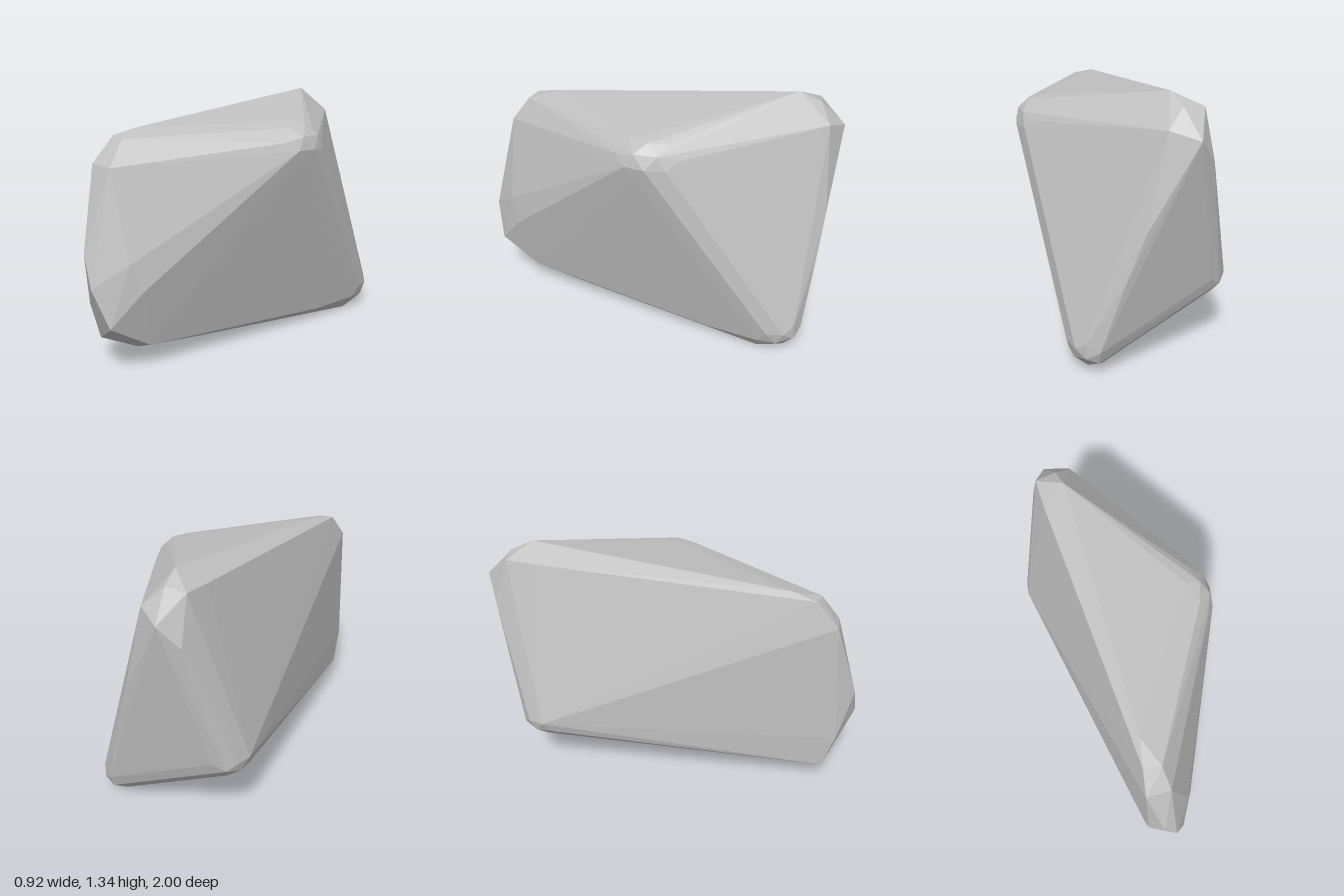
import * as THREE from 'three';
import { ConvexGeometry } from 'three/addons/geometries/ConvexGeometry.js';

// Rounded corners of the boulder: centre and radii
const roundCorners = [
  { at: [0.32, 1.07, -0.09], r: [0.14, 0.14, 0.20] },   // shoulder
  { at: [-0.34, 0.40, -0.68], r: [0.12, 0.12, 0.15] },  // low side
  { at: [0.25, 0.14, -0.74], r: [0.12, 0.13, 0.17] },   // foot
];

// Chipped corners and edges: hand-placed points
const chips = {
  peak: [
    [-0.12, 1.34, -0.76], [-0.25, 1.28, -0.86], [-0.25, 1.27, -0.70], [-0.18, 1.16, -1],
    [-0.14, 1.29, -0.87], [-0.27, 1.15, -0.75], [-0.27, 1.05, -0.94], [-0.05, 1.2, -0.93],
  ],
  brow: [
    [-0.18, 1.17, 0.73], [-0.09, 1.16, 0.75], [-0.20, 1.04, 0.85], [-0.07, 1.03, 0.85],
    [-0.15, 1.20, 0.60], [0, 1.17, 0.55],
  ],
  nose: [
    [-0.13, 0.62, 0.98], [-0.06, 0.46, 1], [-0.19, 0.34, 0.91], [-0.19, 0.14, 0.85],
    [0.01, 0.26, 0.95], [0.05, 0.57, 0.85], [0.09, 0.43, 0.80],
  ],
  underside: [
    [-0.10, 0.06, 0.68], [0.04, 0.12, 0.72], [0.10, 0.09, 0.40], [0.28, 0.06, -0.40], [0.29, 0, -0.68],
  ],
  backRidge: [[0.05, 0.75, -0.965], [0.14, 0.50, -0.945]],
};

// Faceted ball of points around one corner
function cornerPoints({ at, r }) {
  const ball = new THREE.IcosahedronGeometry(1, 1).getAttribute('position');
  const seen = new Map();
  for (let i = 0; i < ball.count; i++) {
    const p = new THREE.Vector3().fromBufferAttribute(ball, i);
    const key = p.toArray().map((v) => Math.round(v * 1000)).join();
    seen.set(key, p.multiply(new THREE.Vector3(...r)).add(new THREE.Vector3(...at)));
  }
  return [...seen.values()];
}

export function createModel() {
  const stone = new THREE.MeshStandardMaterial({ color: 0xc1c1c1, flatShading: true });
  stone.name = 'greyStone';

  // Boulder: flat faces stretched between the corners
  const points = [
    ...roundCorners.flatMap(cornerPoints),
    ...Object.values(chips).flat().map((p) => new THREE.Vector3(...p)),
  ];
  const boulder = new THREE.Mesh(new ConvexGeometry(points), stone);
  boulder.name = 'boulder';

  const model = new THREE.Group();
  model.name = 'rock';
  model.add(boulder);
  return model;
}
